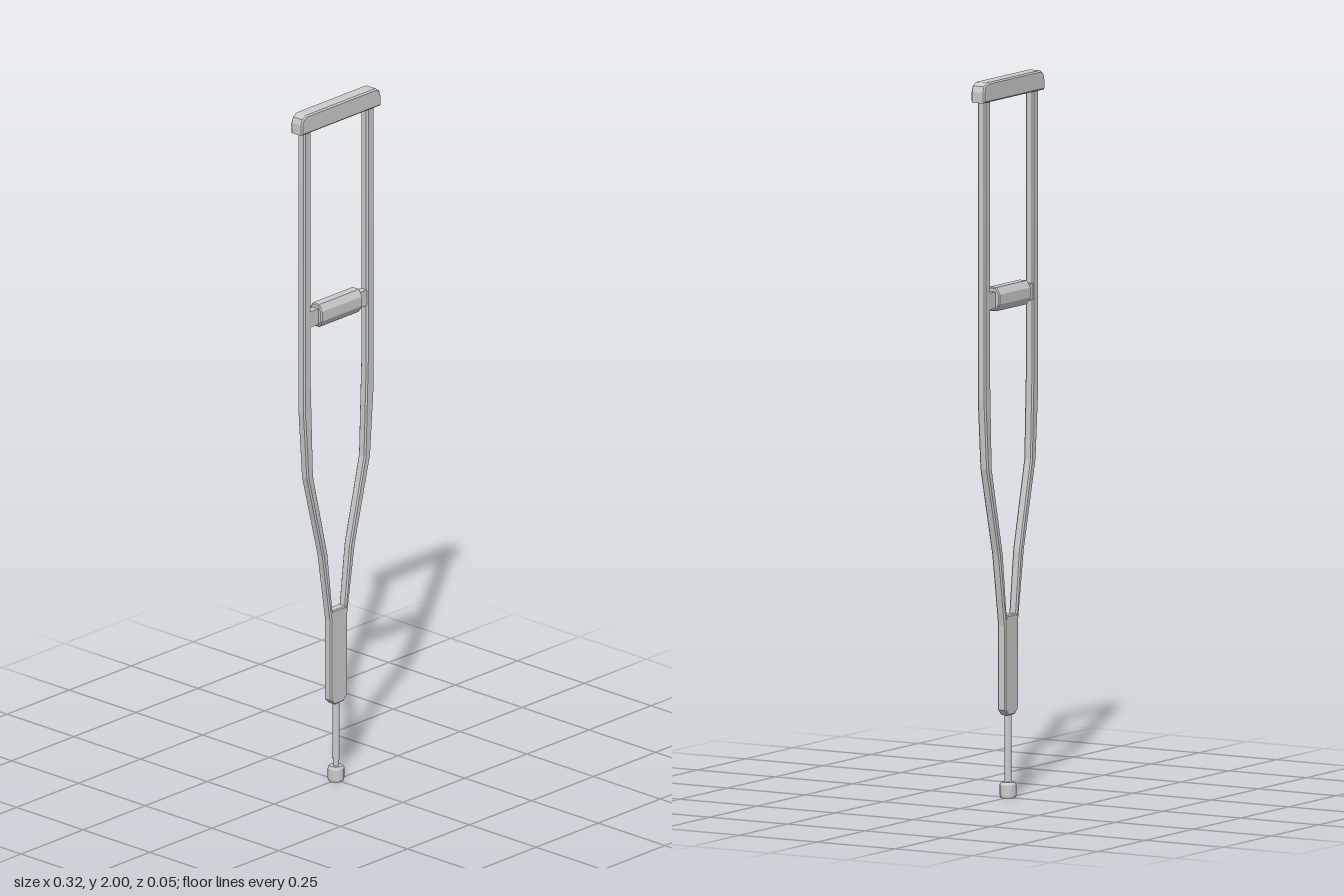
import * as THREE from 'three';

const material = new THREE.MeshStandardMaterial({ color: 0xcccccc, flatShading: true });

// Extrudes an outline to a total depth, centred on z, with a small flat bevel kept inside the outline
function slab(name, points, depth, bevel) {
  const shape = new THREE.Shape(points.map(([x, y]) => new THREE.Vector2(x, y)));
  const geometry = new THREE.ExtrudeGeometry(shape, {
    depth: depth - 2 * bevel,
    bevelEnabled: bevel > 0,
    bevelThickness: bevel,
    bevelSize: bevel,
    bevelOffset: -bevel,
    bevelSegments: 1,
  });
  geometry.translate(0, 0, bevel - depth / 2);
  const mesh = new THREE.Mesh(geometry, material);
  mesh.name = name;
  return mesh;
}

// Mirrors a right-half outline (bottom to top) into a closed symmetric one
const symmetric = (half) => [...half, ...half.map(([x, y]) => [-x, y]).reverse()];

// Closed round part from [radius, y] rings
function turned(name, profile, sides) {
  const points = profile.map(([r, y]) => new THREE.Vector2(r, y));
  const mesh = new THREE.Mesh(new THREE.LatheGeometry(points, sides), material);
  mesh.name = name;
  return mesh;
}

export function createModel() {
  const crutch = new THREE.Group();
  crutch.name = 'crutch';

  // Underarm pad with sloped upper corners
  crutch.add(slab('underarmPad', symmetric([
    [0.16, 1.945], [0.16, 1.975], [0.154, 1.991], [0.14, 2.0],
  ]), 0.042, 0.004));

  // Two side rails, straight above and bending in toward the lower post
  const outer = [[0.03, 0.44], [0.034, 0.48], [0.065, 0.68], [0.127, 0.925], [0.141, 1.12], [0.141, 1.955]];
  const inner = [[0.112, 1.955], [0.112, 1.2], [0.103, 0.925], [0.045, 0.68], [0.024, 0.5], [0.016, 0.44]];
  const rail = [...outer, ...inner];
  crutch.add(slab('leftRail', rail, 0.026, 0.004));
  crutch.add(slab('rightRail', rail.map(([x, y]) => [-x, y]).reverse(), 0.026, 0.004));

  // Crossbar between the rails
  const bar = new THREE.Mesh(new THREE.BoxGeometry(0.24, 0.046, 0.022), material);
  bar.name = 'crossbar';
  bar.position.y = 1.39;
  crutch.add(bar);

  // Eight-sided hand grip around the crossbar
  const grip = slab('handGrip', symmetric([
    [0.012, -0.033], [0.023, -0.014], [0.023, 0.014], [0.012, 0.033],
  ]), 0.166, 0.003);
  grip.rotation.y = Math.PI / 2;
  grip.position.y = 1.392;
  crutch.add(grip);

  // Lower post joining the rails
  crutch.add(slab('lowerPost', symmetric([
    [0.018, 0.23], [0.034, 0.246], [0.034, 0.48], [0.029, 0.508],
  ]), 0.026, 0.003));

  // Extension leg and rubber foot
  crutch.add(turned('extensionLeg', [[0, 0.03], [0.009, 0.03], [0.01, 0.24], [0, 0.24]], 12));
  crutch.add(turned('rubberFoot', [
    [0, 0], [0.021, 0], [0.023, 0.006], [0.023, 0.036], [0.018, 0.044], [0, 0.044],
  ], 14));

  return crutch;
}
